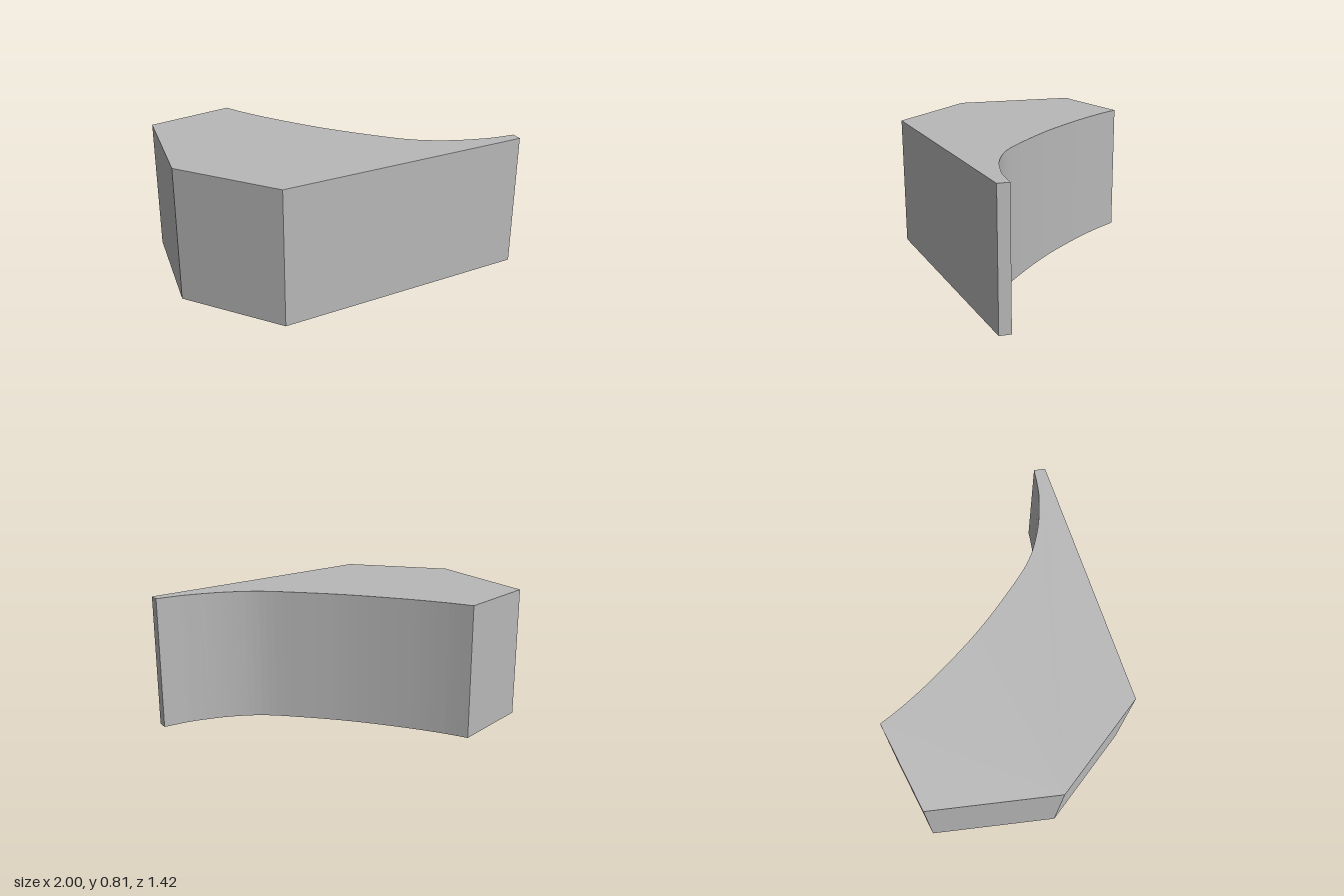
import * as THREE from 'three';

const HEIGHT = 0.807;

export function createModel() {
  const group = new THREE.Group();
  group.name = 'curvedWedgeBlock';

  const grey = new THREE.MeshStandardMaterial({ color: 0xb8b8b8 });
  grey.name = 'plain grey';

  // Plan outline as (x, z); shape y is -z so that it lies flat after rotation
  const plan = (x, z) => new THREE.Vector2(x, -z);
  const straight = [
    [-0.41, -0.712], [-0.935, -0.563], [-1, 0.197],
    [-0.558, 0.71], [0.997, 0.547], [1, 0.478],
  ].map(([x, z]) => plan(x, z));

  // Concave sweep from the thin tip back to the wide end
  const sweep = [
    [0.9, 0.475], [0.8, 0.464], [0.6, 0.411], [0.4, 0.307], [0.2, 0.12],
    [0, -0.1], [-0.2, -0.365], [-0.33, -0.565], [-0.41, -0.712],
  ].map(([x, z]) => plan(x, z));

  const outline = new THREE.Shape();
  outline.setFromPoints(straight);
  outline.splineThru(sweep);

  // Upright block extruded from the plan
  const geometry = new THREE.ExtrudeGeometry(outline, {
    depth: HEIGHT, bevelEnabled: false, curveSegments: 5,
  });
  geometry.rotateX(-Math.PI / 2);

  const block = new THREE.Mesh(geometry, grey);
  block.name = 'block';
  group.add(block);
  return group;
}
